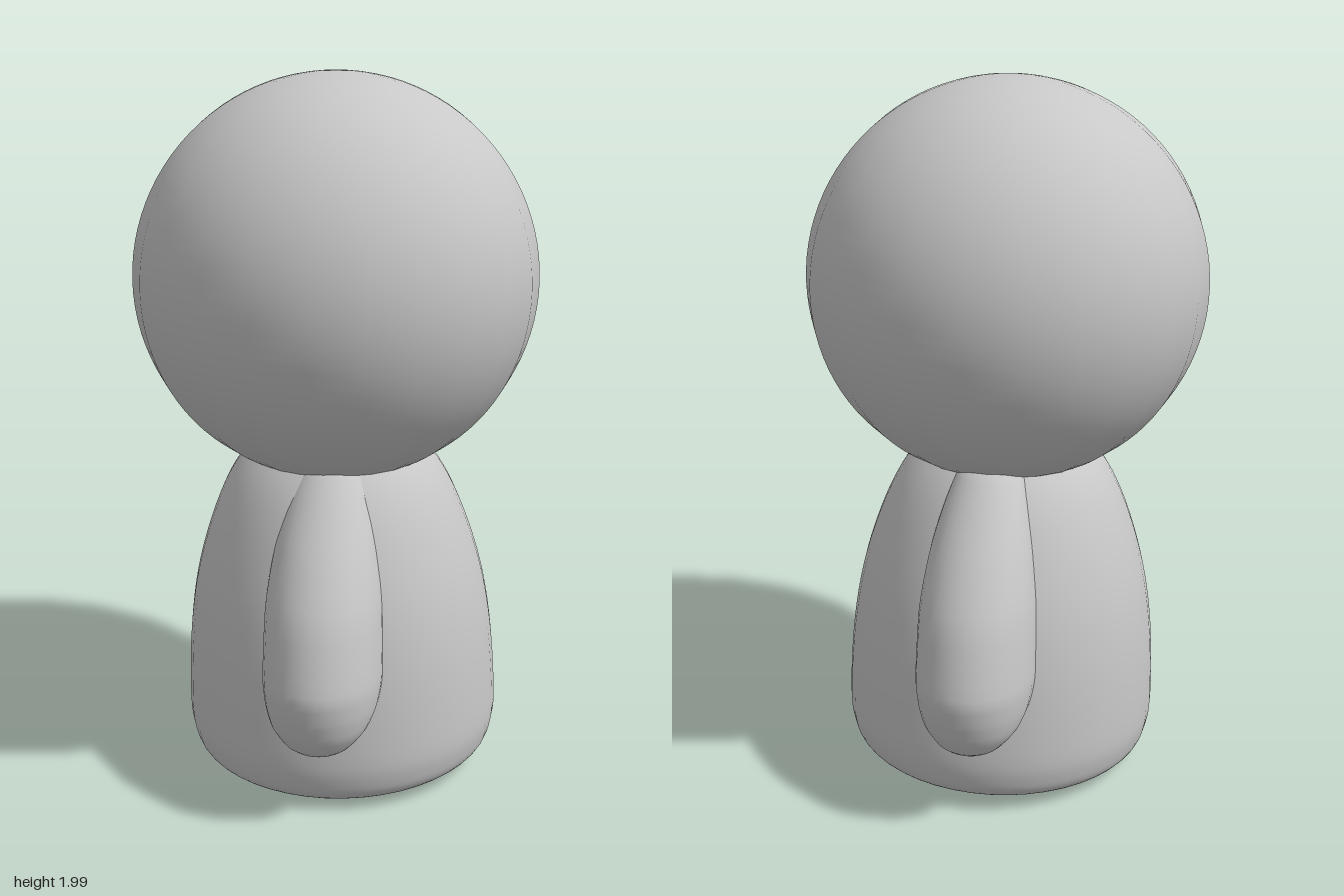
import * as THREE from 'three';

// Closed smooth solid from horizontal ellipse rings: [y, centre x, centre z, half width, half depth]
function ringSolid(rings, sides) {
  const pos = [], index = [];
  for (const [y, cx, cz, w, d] of rings) {
    for (let i = 0; i < sides; i++) {
      const a = (i / sides) * Math.PI * 2;
      pos.push(cx + Math.sin(a) * w, y, cz + Math.cos(a) * d);
    }
  }
  for (let r = 0; r < rings.length - 1; r++) {
    for (let i = 0; i < sides; i++) {
      const j = (i + 1) % sides;
      const a = r * sides + i, b = r * sides + j;
      index.push(a, b, b + sides, a, b + sides, a + sides);
    }
  }
  const geo = new THREE.BufferGeometry();
  geo.setAttribute('position', new THREE.Float32BufferAttribute(pos, 3));
  geo.setIndex(index);
  geo.computeVertexNormals();
  return geo;
}

// Smoothly resample a list of number rows
function resample(keys, steps) {
  const at = (cols) => new THREE.CatmullRomCurve3(
    keys.map((k) => new THREE.Vector3(...cols.map((c) => k[c] ?? 0))), false, 'centripetal');
  const a = at([0, 1, 2]), b = at([3, 4, 5]);
  return Array.from({ length: steps + 1 }, (_, i) => {
    const p = a.getPoint(i / steps), q = b.getPoint(i / steps);
    return [p.x, p.y, p.z, Math.max(q.x, 0.001), Math.max(q.y, 0.001)];
  });
}

export function createModel() {
  const model = new THREE.Group();
  const grey = new THREE.MeshStandardMaterial({ color: 0xc8c8c8 });
  grey.name = 'plain grey';

  const add = (name, geometry) => {
    const mesh = new THREE.Mesh(geometry, grey);
    mesh.name = name;
    model.add(mesh);
    return mesh;
  };

  // Head: round in profile, 24-sided in plan
  const head = add('head', new THREE.SphereGeometry(0.562, 24, 48));
  head.position.set(0, 1.438, 0.027);
  head.rotation.y = Math.PI / 24;

  // Body: bell with a rounded rim, leaning very slightly
  const side = new THREE.SplineCurve([
    [0.3, 0.002], [0.37, 0.01], [0.425, 0.04], [0.448, 0.09], [0.456, 0.18], [0.443, 0.4],
    [0.408, 0.6], [0.34, 0.8], [0.262, 0.93], [0.15, 1.02], [0, 1.05],
  ].map(([r, y]) => new THREE.Vector2(r, y))).getPoints(50);
  side[side.length - 1].x = 0;
  const body = add('body', new THREE.LatheGeometry([new THREE.Vector2(0, 0), ...side], 48));
  body.position.set(0.015, 0.012, -0.005);
  body.rotation.set(0.023, 0, 0.018);

  // Arms: flattened teardrops hanging at front and back
  const armGeo = ringSolid(resample([
    [0.215, 0.066, 0.48, 0, 0],
    [0.222, 0.066, 0.478, 0.052, 0.042],
    [0.24, 0.066, 0.472, 0.088, 0.072],
    [0.29, 0.066, 0.45, 0.132, 0.122],
    [0.35, 0.066, 0.425, 0.154, 0.165],
    [0.43, 0.065, 0.405, 0.163, 0.19],
    [0.6, 0.058, 0.365, 0.16, 0.18],
    [0.75, 0.05, 0.31, 0.142, 0.147],
    [0.87, 0.044, 0.25, 0.115, 0.112],
    [0.95, 0.04, 0.2, 0.088, 0.085],
    [1.02, 0.035, 0.15, 0, 0],
  ], 40), 32);
  add('frontArm', armGeo);
  const backArm = add('backArm', armGeo);
  backArm.rotation.y = Math.PI;
  backArm.position.set(0.008, 0.015, 0);

  return model;
}
